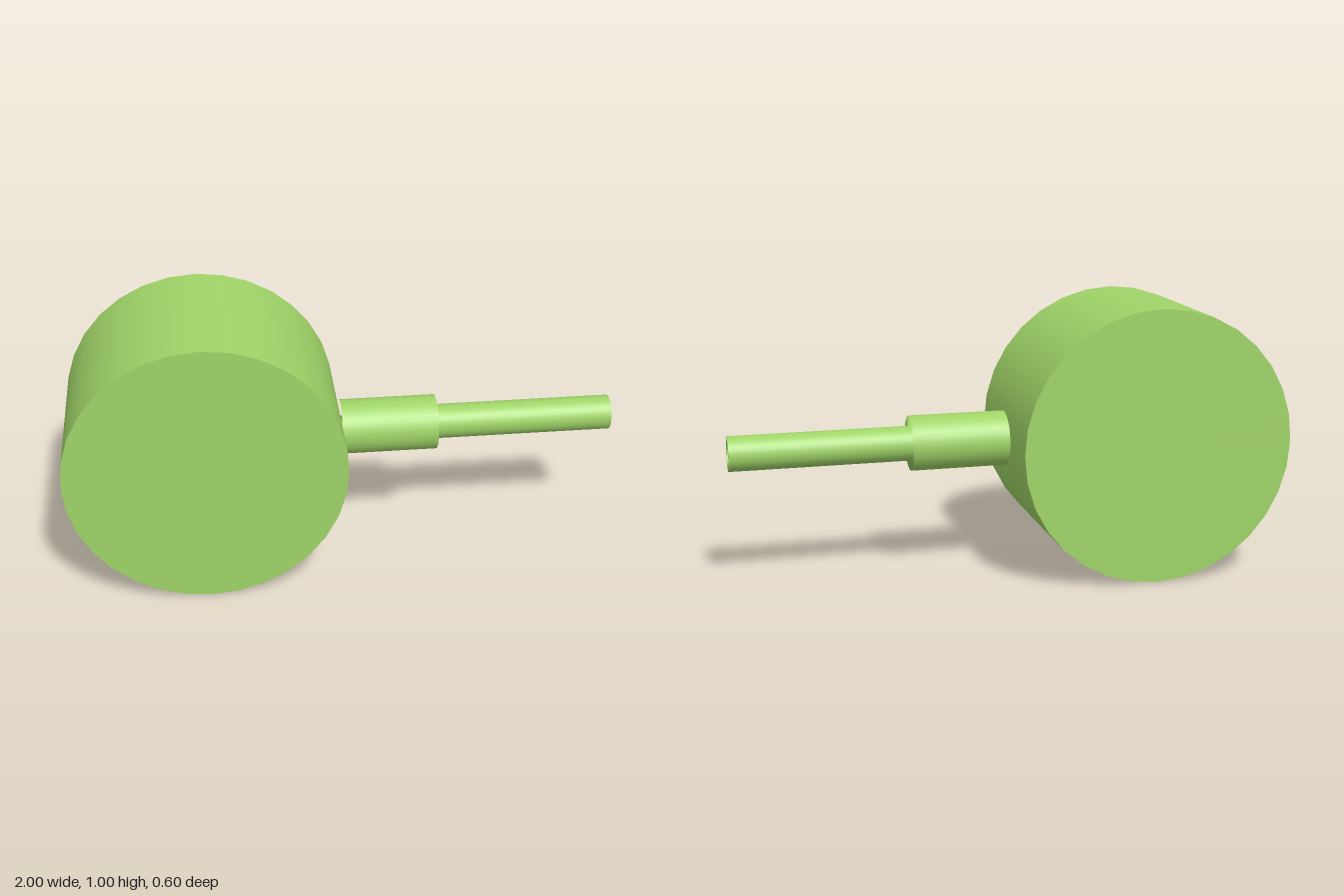
import * as THREE from 'three';

export function createModel() {
  const model = new THREE.Group();
  const material = new THREE.MeshStandardMaterial({ color: 0xa0d468 });

  // Round drum lying with its flat faces towards front and back
  const drum = new THREE.Mesh(new THREE.CylinderGeometry(0.5, 0.5, 0.6, 32), material);
  drum.name = 'drum';
  drum.rotation.x = Math.PI / 2;
  drum.position.set(-0.5, 0.5, 0);
  model.add(drum);

  // Stepped hollow stem: thick collar, thin pipe, open bore; [radius, distance]
  const profile = [
    [0.1, 0], [0.1, 0.35], [0.063, 0.35], [0.063, 1], [0.04, 1], [0.04, 0],
  ].map(([r, d]) => new THREE.Vector2(r, d));
  const stem = new THREE.Mesh(new THREE.LatheGeometry(profile, 32), material);
  stem.name = 'stem';
  stem.rotation.z = -Math.PI / 2;
  stem.position.y = 0.5;
  model.add(stem);

  return model;
}
